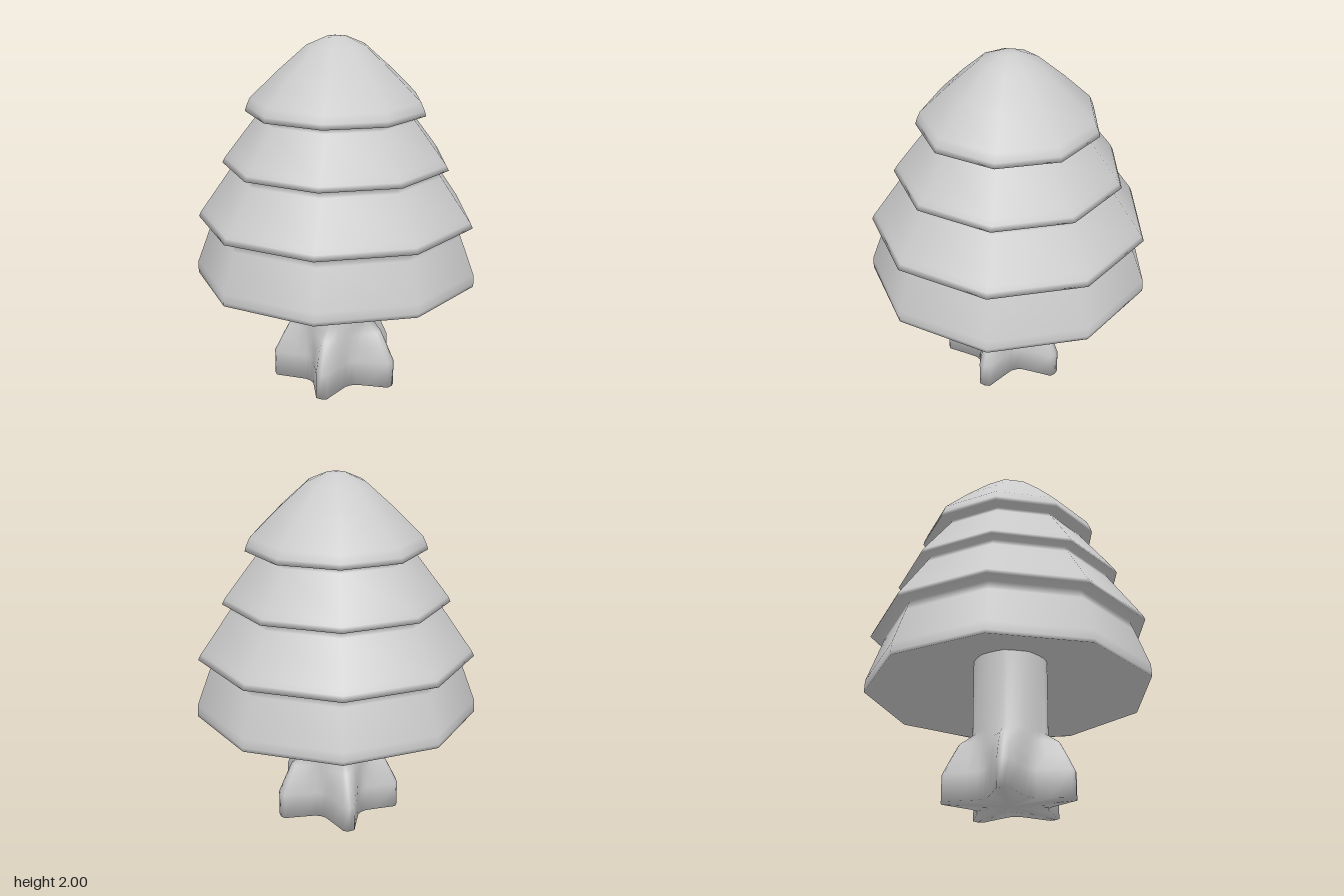
import * as THREE from 'three';

const material = new THREE.MeshStandardMaterial({ color: 0xcccccc });
const rad = THREE.MathUtils.degToRad;

// Nine-sided foliage as one smooth skin: hollow underside, then four tiers with overhanging rims
function foliage() {
  const profile = [ // [radius, height]
    [0, 0.88], [0.2, 0.82], [0.5, 0.73], [0.78, 0.646],
    [0.802, 0.64], [0.802, 0.66], [0.8, 0.71], [0.72, 0.925], [0.7, 0.98], // bottom tier
    [0.786, 0.98], [0.772, 1.01], [0.754, 1.035], [0.6, 1.255], [0.575, 1.295], // lower middle
    [0.642, 1.295], [0.628, 1.322], [0.608, 1.35], [0.45, 1.555], [0.428, 1.587], // upper middle
    [0.508, 1.587], [0.5, 1.615], [0.48, 1.66], [0.325, 1.81], [0.165, 1.95], [0.06, 1.995], [0, 2] // top
  ];
  const points = profile.map(([r, y]) => new THREE.Vector2(r, y));
  const mesh = new THREE.Mesh(new THREE.LatheGeometry(points, 9, Math.PI / 2), material);
  mesh.name = 'foliage';
  return mesh;
}

// Trunk whose lower part swells into five narrow roots
function trunk() {
  const R = 0.207;
  const heights = [0, 0.15, 0.235, 0.32, 0.375, 0.86];
  const tips = [0.372, 0.372, 0.33, 0.285, R, R];
  const offsets = [-36, -27, -16, -5, 0, 5, 16, 27]; // degrees from each root's axis
  const swell = [0, 0.05, 0.35, 0.96, 1, 0.96, 0.35, 0.05];
  const rows = heights.length;
  const sides = 5 * offsets.length;
  const positions = [];
  const index = [];
  heights.forEach((y, row) => {
    for (let i = 0; i < sides; i++) {
      const k = i % offsets.length;
      const angle = rad(54 + 72 * Math.floor(i / offsets.length) + offsets[k]);
      const r = R + (tips[row] - R) * swell[k];
      positions.push(r * Math.cos(angle), y, r * Math.sin(angle));
    }
  });
  // Centre of the closed foot
  const centre = rows * sides;
  positions.push(0, 0, 0);
  for (let i = 0; i < sides; i++) {
    const j = (i + 1) % sides;
    for (let row = 0; row < rows - 1; row++) {
      const a = row * sides + i, b = row * sides + j;
      index.push(a, a + sides, b, b, a + sides, b + sides);
    }
    index.push(centre, i, j);
  }
  const geometry = new THREE.BufferGeometry();
  geometry.setAttribute('position', new THREE.Float32BufferAttribute(positions, 3));
  geometry.setIndex(index);
  geometry.computeVertexNormals();
  const mesh = new THREE.Mesh(geometry, material);
  mesh.name = 'trunkWithRoots';
  mesh.position.z = 0.009;
  return mesh;
}

export function createModel() {
  const tree = new THREE.Group();
  tree.name = 'tree';
  tree.add(trunk(), foliage());
  // The axis sits slightly off centre so the corners fill the width evenly
  tree.children.forEach((part) => { part.position.x = -0.027; });
  return tree;
}
